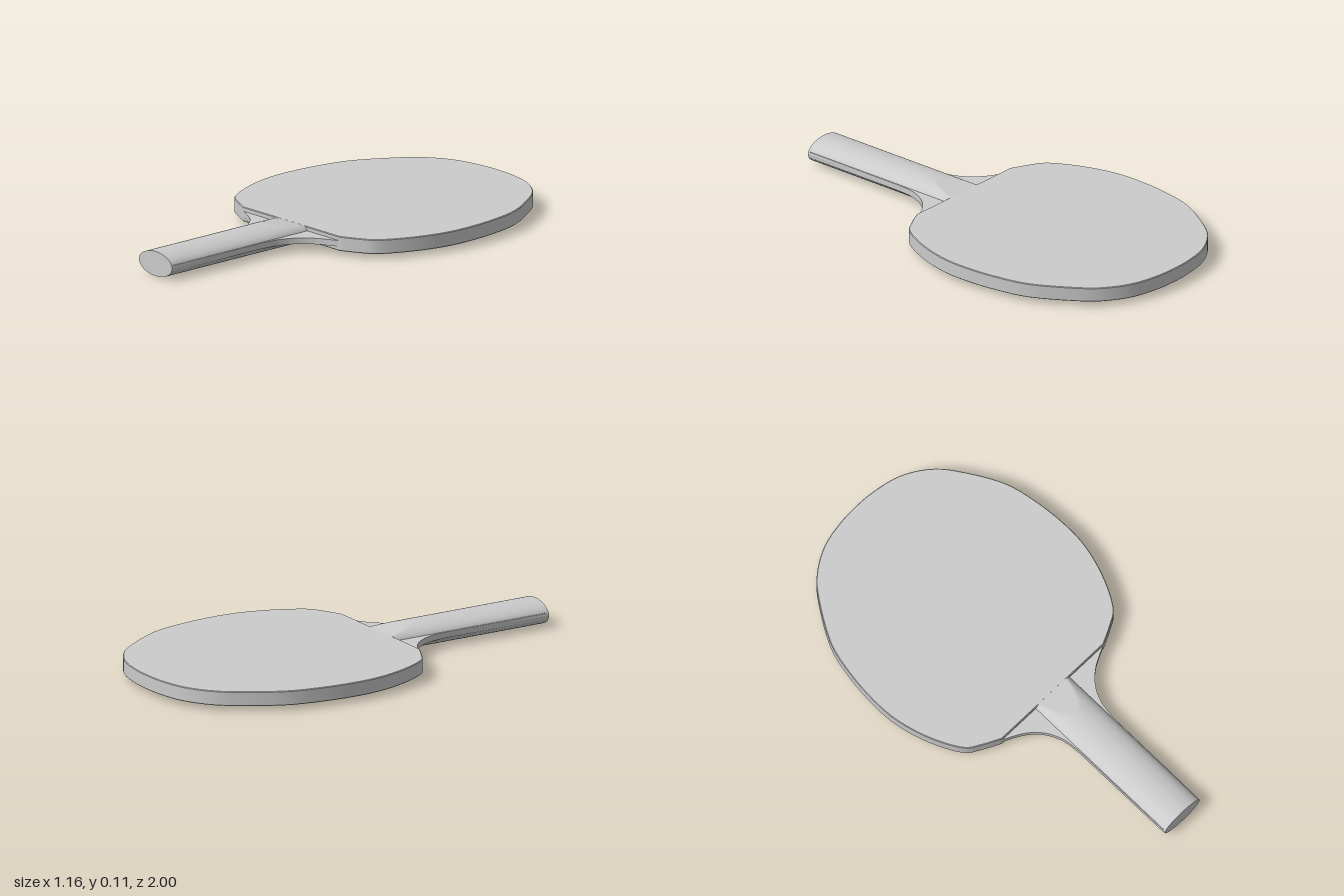
import * as THREE from 'three';
import { toCreasedNormals } from 'three/addons/utils/BufferGeometryUtils.js';

const MID = 0.058; // height of the central plane
const material = new THREE.MeshStandardMaterial({ color: 0xcccccc });

function addMesh(group, name, geometry, crease = 0.5) {
  const mesh = new THREE.Mesh(toCreasedNormals(geometry, crease), material);
  mesh.name = name;
  group.add(mesh);
}

// Horizontal slab with a plan outline given as [x, z], centred on MID
function slab(outline, thickness, bevel) {
  const shape = new THREE.Shape(outline.map(([x, z]) => new THREE.Vector2(x, -z)));
  const geometry = new THREE.ExtrudeGeometry(shape, {
    depth: thickness - 2 * bevel, bevelEnabled: bevel > 0, bevelThickness: bevel,
    bevelSize: bevel, bevelOffset: -bevel, bevelSegments: 1,
  });
  return geometry.rotateX(-Math.PI / 2).translate(0, MID - thickness / 2 + bevel, 0);
}

// Smooth curve through [x, z] points
function smooth(points, count) {
  const curve = new THREE.SplineCurve(points.map(p => new THREE.Vector2(...p)));
  return curve.getPoints(count).map(p => [p.x, p.y]);
}

const mirror = points => points.map(([x, z]) => [-x, z]).reverse();

// Elliptical grip whose top and bottom are planed down to meet the blade
function gripGeometry() {
  const sides = 64, zs = [1, 0.45];
  for (let i = 0; i <= 16; i++) zs.push(0.355 - i * 0.155 / 16);
  const positions = [], index = [];
  zs.forEach(z => {
    const limit = Math.min(0.0555, 0.032 + (z - 0.2) * 0.152);
    for (let i = 0; i < sides; i++) {
      const a = i / sides * Math.PI * 2;
      const y = THREE.MathUtils.clamp(0.0555 * Math.sin(a), -limit, limit);
      positions.push(0.106 * Math.cos(a), MID + y, z);
    }
  });
  for (let r = 0; r < zs.length - 1; r++) {
    for (let i = 0; i < sides; i++) {
      const j = (i + 1) % sides, a = r * sides, b = a + sides;
      index.push(a + i, b + i, a + j, a + j, b + i, b + j);
    }
  }
  // End caps
  const last = (zs.length - 1) * sides;
  for (let i = 1; i < sides - 1; i++) {
    index.push(0, i, i + 1, last, last + i + 1, last + i);
  }
  const geometry = new THREE.BufferGeometry();
  geometry.setAttribute('position', new THREE.Float32BufferAttribute(positions, 3));
  geometry.setIndex(index);
  return geometry;
}

export function createModel() {
  const group = new THREE.Group();
  group.name = 'tableTennisBat';

  // Rounded blade with a straight edge towards the grip
  const side = [[0.31, 0.205], [0.39, 0.165], [0.46, 0.115], [0.53, -0.02], [0.572, -0.17],
    [0.58, -0.31], [0.565, -0.47], [0.525, -0.63], [0.42, -0.81], [0.34, -0.9], [0.23, -0.965], [0.11, -0.993]];
  addMesh(group, 'blade', slab(smooth([...side, [0, -1], ...mirror(side)], 96), 0.065, 0.003));

  // Thin core flaring from the grip into the blade
  const flare = smooth([[0.318, 0.2], [0.22, 0.25], [0.155, 0.312], [0.118, 0.39], [0.107, 0.48]], 20);
  const neck = [[0.3, 0.15], ...flare, [0.105, 0.99]];
  addMesh(group, 'neck', slab([...neck, ...mirror(neck)], 0.027, 0));

  addMesh(group, 'grip', gripGeometry(), 0.4);
  return group;
}
